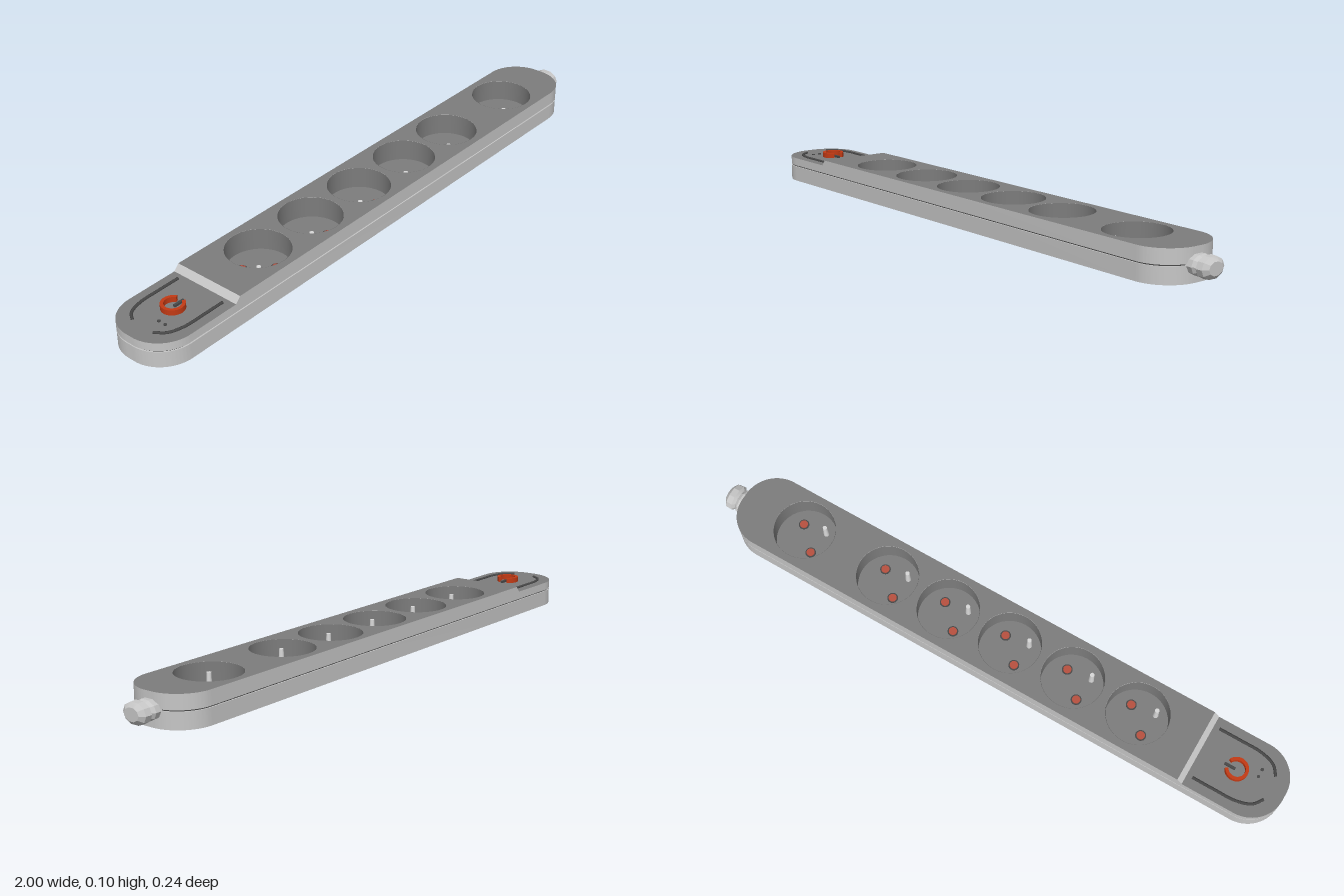
import * as THREE from 'three';
import { toCreasedNormals } from 'three/addons/utils/BufferGeometryUtils.js';

const mat = (name, color, side = THREE.FrontSide) => {
  const m = new THREE.MeshStandardMaterial({ color, side });
  m.name = name;
  return m;
};

const X0 = -1, X1 = 0.935, HALF = 0.122, R = 0.11;
const STEP = -0.74;
const SOCKETS = [-0.5, -0.273, -0.05, 0.172, 0.395, 0.705];
const SOCKET_R = 0.1, FLOOR = 0.03;

// Plan outline with optional rounding at the left and right ends
function outline(x0, x1, rl, rr, inset = 0) {
  const a = x0 + inset, b = x1 - inset, h = HALF - inset;
  const s = new THREE.Shape();
  s.moveTo(a + rl, -h);
  s.lineTo(b - rr, -h);
  if (rr) s.absarc(b - rr, -h + rr, rr, -Math.PI / 2, 0, false);
  s.lineTo(b, h - rr);
  if (rr) s.absarc(b - rr, h - rr, rr, 0, Math.PI / 2, false);
  s.lineTo(a + rl, h);
  if (rl) s.absarc(a + rl, h - rl, rl, Math.PI / 2, Math.PI, false);
  s.lineTo(a, -h + rl);
  if (rl) s.absarc(a + rl, -h + rl, rl, Math.PI, Math.PI * 1.5, false);
  return s;
}

function withSockets(shape) {
  for (const x of SOCKETS) {
    const hole = new THREE.Path();
    hole.absarc(x, 0, SOCKET_R, 0, Math.PI * 2, true);
    shape.holes.push(hole);
  }
  return shape;
}

// Extrude a plan shape upward from y0 to y1
function slab(shape, y0, y1) {
  const g = new THREE.ExtrudeGeometry(shape, { depth: y1 - y0, bevelEnabled: false, curveSegments: 16 });
  return g.rotateX(-Math.PI / 2).translate(0, y0, 0);
}

export function createModel() {
  const shellMat = mat('light grey shell', 0xc6c6c6);
  const topMat = mat('mid grey face', 0x7c7c7c);
  const cupMat = mat('mid grey socket wall', 0x7c7c7c, THREE.DoubleSide);
  const baseMat = mat('dark grey underside', 0x606060);
  const darkMat = mat('charcoal trim', 0x484848);
  const redMat = mat('red contact', 0xb8503f);
  const powerMat = mat('orange red switch', 0xc23a14);
  const pinMat = mat('pale metal', 0xd8d8d8);

  const model = new THREE.Group();
  model.name = 'powerStrip';
  const add = (name, geo, material, parent = model) => {
    const m = new THREE.Mesh(geo, material);
    m.name = name;
    parent.add(m);
    return m;
  };
  const shell = (g) => toCreasedNormals(g, 0.5);

  // Lower casing, seam and underside
  add('basePlate', shell(slab(outline(X0, X1, R, R), 0, 0.006)), [baseMat, shellMat]);
  add('lowerCasing', shell(slab(withSockets(outline(X0, X1, R, R)), 0.006, 0.051)), shellMat);
  add('seam', shell(slab(withSockets(outline(X0, X1, R - 0.004, R - 0.004, 0.004)), 0.05, 0.056)), darkMat);

  // Upper casing: low switch end, then the raised socket deck with a sloped step
  add('switchDeck', shell(slab(outline(X0, STEP + 0.025, R, 0), 0.055, 0.081)), [topMat, shellMat]);
  const deck = slab(withSockets(outline(STEP, X1, 0, R)), 0.055, 0.1);
  const p = deck.attributes.position;
  for (let i = 0; i < p.count; i++) {
    if (p.getX(i) < STEP + 0.001 && p.getY(i) > 0.09) p.setX(i, STEP + 0.04);
  }
  add('socketDeck', shell(deck), [topMat, shellMat]);

  // Sockets with two contacts and an earth pin
  SOCKETS.forEach((x, i) => {
    const socket = new THREE.Group();
    socket.name = 'socket' + (i + 1);
    socket.position.x = x;
    model.add(socket);
    const r = SOCKET_R - 0.001;
    add('socketWall', new THREE.CylinderGeometry(r, r, 0.1 - FLOOR, 40, 1, true)
      .translate(0, (0.1 + FLOOR) / 2, 0), cupMat, socket);
    add('socketFloor', new THREE.CircleGeometry(r, 40).rotateX(-Math.PI / 2)
      .translate(0, FLOOR, 0), topMat, socket);
    for (const s of [-1, 1]) {
      add('contactRim', new THREE.CylinderGeometry(0.017, 0.017, 0.002, 20)
        .translate(s * 0.036, FLOOR + 0.001, s * 0.036), darkMat, socket);
      add('contact', new THREE.CylinderGeometry(0.013, 0.013, 0.004, 20)
        .translate(s * 0.036, FLOOR + 0.002, s * 0.036), redMat, socket);
    }
    add('earthPin', new THREE.CylinderGeometry(0.007, 0.009, 0.05, 12)
      .translate(-0.045, FLOOR + 0.025, 0.044), pinMat, socket);
  });

  // Power switch: raised broken ring with a bar through the gap
  const ring = new THREE.Shape();
  ring.absarc(0, 0, 0.036, 0.45, Math.PI * 2 - 0.45, false);
  ring.absarc(0, 0, 0.026, Math.PI * 2 - 0.45, 0.45, true);
  const sw = new THREE.Group();
  sw.name = 'powerSwitch';
  sw.position.x = -0.838;
  model.add(sw);
  add('switchRing', slab(ring, 0.08, 0.098), powerMat, sw);
  add('switchBar', new THREE.BoxGeometry(0.036, 0.008, 0.008).translate(0.022, 0.084, 0), darkMat, sw);

  // Curved trim lines beside the switch
  for (const s of [-1, 1]) {
    const pts = [[-0.735, 0.088], [-0.81, 0.088], [-0.88, 0.086], [-0.927, 0.07], [-0.95, 0.04]]
      .map(([x, z]) => new THREE.Vector3(x, 0.082, s * z));
    add('trimLine', new THREE.TubeGeometry(new THREE.CatmullRomCurve3(pts), 24, 0.005, 6, false), darkMat);
  }

  // Small indicator marks
  for (const z of [0.015, 0.04]) {
    add('indicator', new THREE.CylinderGeometry(0.005, 0.005, 0.004, 12).translate(-0.905, 0.082, z), darkMat);
  }

  // Cord outlet, a flattened faceted collar and knob
  const profile = [[0.03, 0], [0.031, 0.03], [0.025, 0.04], [0.033, 0.048], [0.032, 0.068], [0.02, 0.08], [0, 0.08]]
    .map(([r, y]) => new THREE.Vector2(r, y));
  const cord = new THREE.LatheGeometry(profile, 10).rotateZ(-Math.PI / 2).scale(1, 1, 1.35).translate(0.92, 0.05, 0);
  add('cordOutlet', toCreasedNormals(cord, 0.4), shellMat);

  return model;
}
